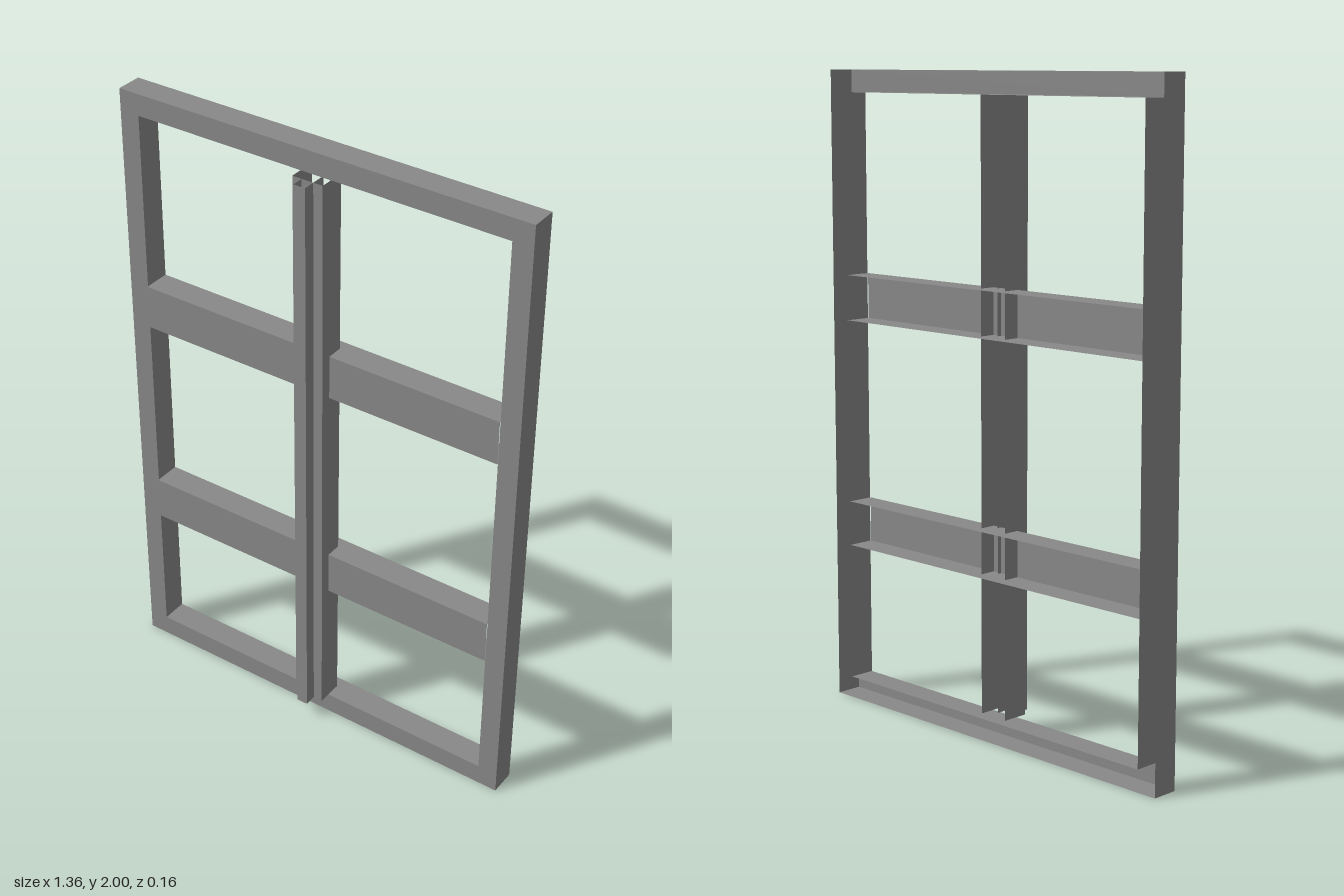
import * as THREE from 'three';

const material = new THREE.MeshStandardMaterial({ color: 0x888888, flatShading: true, side: THREE.DoubleSide });
const DEPTH = 0.087;

function sheet(name, w, h) {
  const mesh = new THREE.Mesh(new THREE.PlaneGeometry(w, h), material);
  mesh.name = name;
  return mesh;
}

// Open-backed, open-ended channel running along y, front web at z = 0
function channel(name, width, length) {
  const group = new THREE.Group();
  group.name = name;
  group.add(sheet('web', width, length));
  for (const side of [-1, 1]) {
    const flange = sheet('flange', DEPTH, length);
    flange.rotation.y = side * Math.PI / 2;
    flange.position.set(side * width / 2, 0, -DEPTH / 2);
    group.add(flange);
  }
  return group;
}

// Four walls of a rectangular ring, reaching from z = 0 backwards
function ringWalls(name, w, h, depth) {
  const group = new THREE.Group();
  group.name = name;
  for (const side of [-1, 1]) {
    const upright = sheet('sideWall', depth, h);
    upright.rotation.y = side * Math.PI / 2;
    upright.position.set(side * w / 2, 0, -depth / 2);
    const level = sheet('levelWall', w, depth);
    level.rotation.x = -side * Math.PI / 2;
    level.position.set(0, side * h / 2, -depth / 2);
    group.add(upright, level);
  }
  return group;
}

function rectangle(path, w, h) {
  path.moveTo(-w / 2, -h / 2).lineTo(w / 2, -h / 2).lineTo(w / 2, h / 2).lineTo(-w / 2, h / 2).closePath();
  return path;
}

export function createModel() {
  const model = new THREE.Group();
  model.name = 'windowFrame';

  // Outer frame: front plate with outer and inner walls, open at the back
  const [W, H, w, h, d] = [1.36, 2, 1.23, 1.864, 0.084];
  const frame = new THREE.Group();
  frame.name = 'outerFrame';
  const shape = rectangle(new THREE.Shape(), W, H);
  shape.holes.push(rectangle(new THREE.Path(), w, h));
  const plate = new THREE.Mesh(new THREE.ShapeGeometry(shape), material);
  plate.name = 'frontPlate';
  frame.add(plate, ringWalls('outerWalls', W, H, d), ringWalls('innerWalls', w, h, d));
  frame.position.set(0, 1, 0.004);
  model.add(frame);

  // Two crossbars, slightly proud of the frame
  for (const [name, y] of [['lowerCrossbar', 0.575], ['upperCrossbar', 1.297]]) {
    const bar = channel(name, 0.142, w);
    bar.rotation.z = Math.PI / 2;
    bar.position.set(0, y, 0.007);
    model.add(bar);
  }

  // Central post: wide channel with a narrow one nested through its front
  for (const [name, width, z] of [['centrePost', 0.1, 0.042], ['centreRidge', 0.038, 0.08]]) {
    const post = channel(name, width, h);
    post.position.set(0, 1, z);
    model.add(post);
  }
  return model;
}
